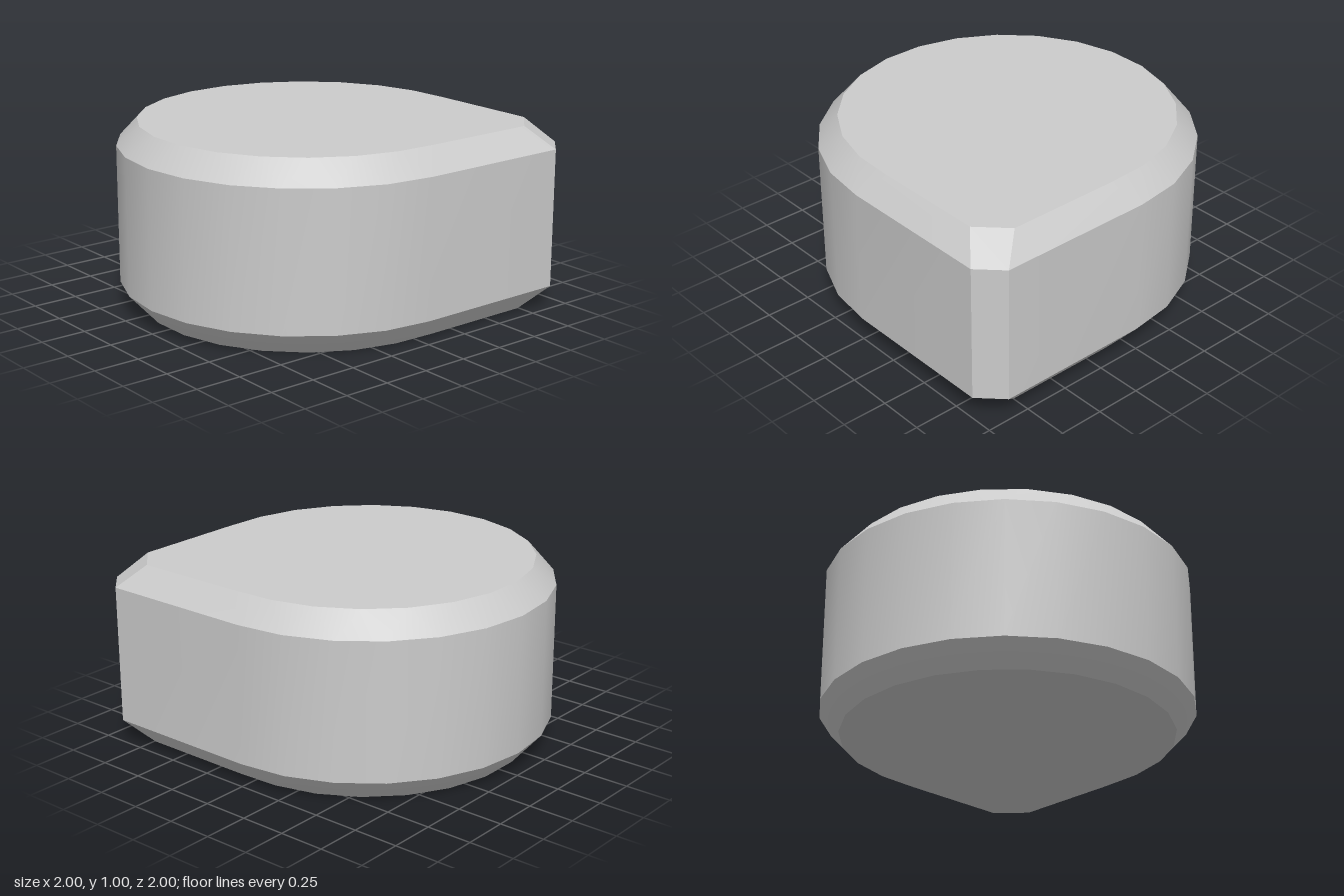
import * as THREE from 'three';
import { toCreasedNormals } from 'three/addons/utils/BufferGeometryUtils.js';

const HEIGHT = 1, BEVEL = 0.125, CAP_RADIUS = 0.89, CAP_FLAT = 0.893;

// Plan points in angular order: 'outer' is the wall outline, 'cap' the inset outline
function planPoints() {
  const points = [];
  const add = (ring, x, z) => points.push({ ring, x, z });
  const polar = (ring, r, degrees) => {
    const a = THREE.MathUtils.degToRad(degrees);
    add(ring, r * Math.cos(a), -r * Math.sin(a));
  };
  // Three quarters of a 24-sided round, the cap's corners half a step off the wall's
  for (let i = 0; i <= 18; i++) {
    polar('outer', 1, i * 15);
    if (i < 18) polar('cap', CAP_RADIUS, i * 15 + 7.5);
  }
  // Square quarter with a clipped corner
  add('cap', 0.12, CAP_FLAT);
  add('cap', 0.745, CAP_FLAT);
  add('outer', 0.875, 1);
  add('outer', 1, 0.875);
  add('cap', CAP_FLAT, 0.745);
  add('cap', CAP_FLAT, 0.12);
  return points;
}

export function createModel() {
  const group = new THREE.Group();
  group.name = 'roundedBlock';
  const points = planPoints();
  const wall = [], topCap = [], topBevel = [];
  const at = (p, y) => [p.x, y, p.z];
  const low = BEVEL, high = HEIGHT - BEVEL;

  // Walk round the plan, adding one bevel triangle per step
  const last = {
    outer: points.findLast((p) => p.ring === 'outer'),
    cap: points.findLast((p) => p.ring === 'cap'),
  };
  for (const p of points) {
    const q = last[p.ring];
    if (p.ring === 'outer') {
      wall.push(...at(q, low), ...at(p, low), ...at(p, high));
      wall.push(...at(q, low), ...at(p, high), ...at(q, high));
      topBevel.push(...at(q, high), ...at(p, high), ...at(last.cap, HEIGHT));
    } else {
      topBevel.push(...at(last.outer, high), ...at(p, HEIGHT), ...at(q, HEIGHT));
      topCap.push(0, HEIGHT, 0, ...at(q, HEIGHT), ...at(p, HEIGHT));
    }
    last[p.ring] = p;
  }

  // Reverse corner order while flipping upside down, so faces stay outward
  const flip = (list) => {
    const out = [];
    for (let i = 0; i < list.length; i += 9) {
      for (const k of [0, 6, 3]) out.push(list[i + k], HEIGHT - list[i + k + 1], list[i + k + 2]);
    }
    return out;
  };

  const material = new THREE.MeshStandardMaterial({ color: 0xcccccc });
  const addPart = (name, positions) => {
    const geometry = new THREE.BufferGeometry();
    geometry.setAttribute('position', new THREE.Float32BufferAttribute(positions, 3));
    const mesh = new THREE.Mesh(toCreasedNormals(geometry, 0.5), material);
    mesh.name = name;
    group.add(mesh);
  };
  addPart('sideWall', wall);
  addPart('topBevel', topBevel);
  addPart('topFace', topCap);
  addPart('bottomBevel', flip(topBevel));
  addPart('bottomFace', flip(topCap));
  return group;
}
